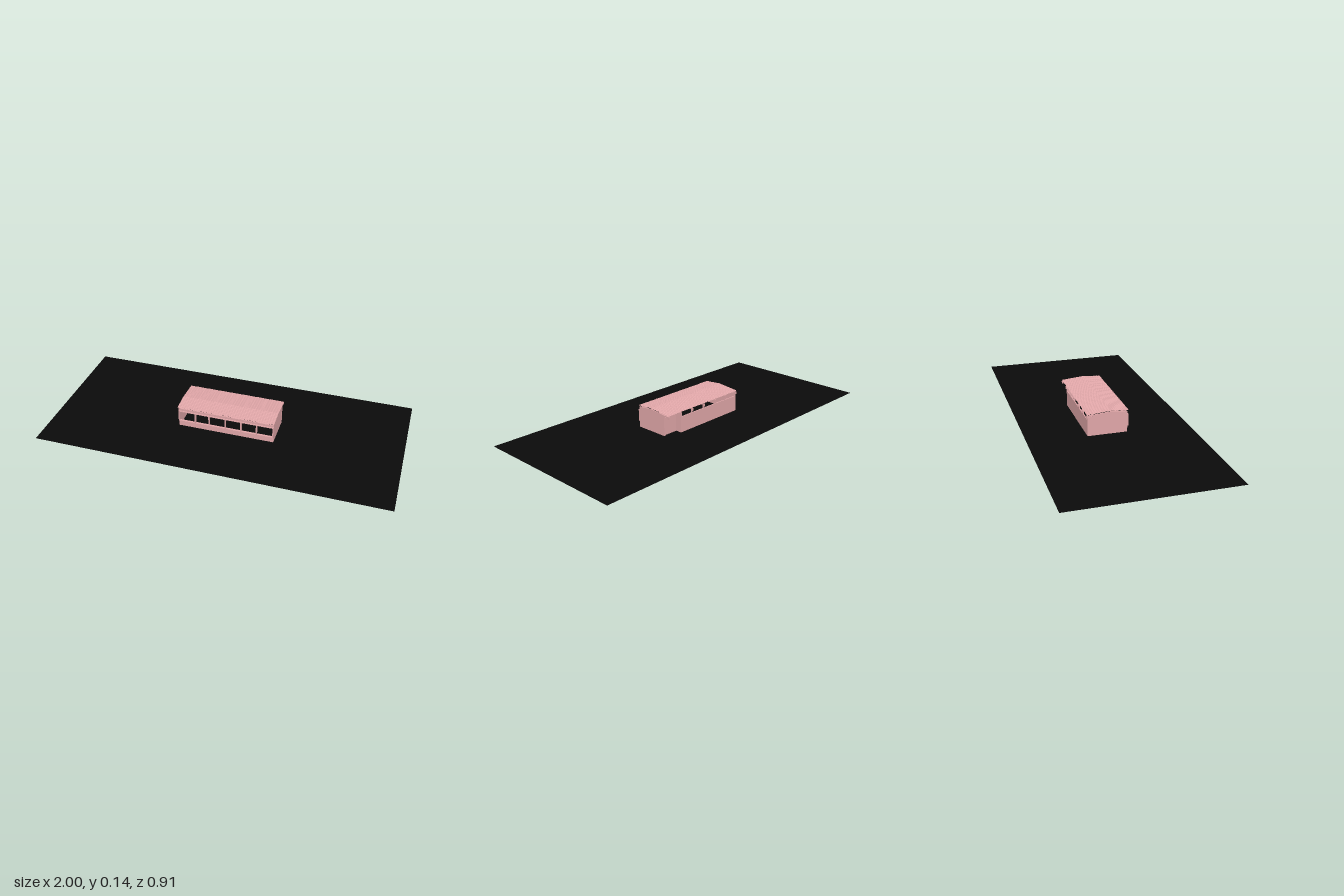
import * as THREE from 'three';

export function createModel() {
  const model = new THREE.Group();
  const pink = new THREE.MeshStandardMaterial({ color: 0xe0a6a8 });
  const roofMat = new THREE.MeshStandardMaterial({ color: 0xe0a6a8, flatShading: true, side: THREE.DoubleSide });
  const black = new THREE.MeshStandardMaterial({ color: 0x0a0a0a, side: THREE.DoubleSide });

  const add = (name, geometry, material = pink) => {
    const mesh = new THREE.Mesh(geometry, material);
    mesh.name = name;
    model.add(mesh);
    return mesh;
  };
  // Box given by its lower and upper limits on each axis
  const box = (name, x0, x1, y0, y1, z0, z1) =>
    add(name, new THREE.BoxGeometry(x1 - x0, y1 - y0, z1 - z0)
      .translate((x0 + x1) / 2, (y0 + y1) / 2, (z0 + z1) / 2));
  // Outline in (z, y), extruded from x0 to x1
  const profile = (name, x0, x1, points) => {
    const shape = new THREE.Shape(points.map(([z, y]) => new THREE.Vector2(-z, y)));
    return add(name, new THREE.ExtrudeGeometry(shape, { depth: x1 - x0, bevelEnabled: false })
      .rotateY(Math.PI / 2).translate(x0, 0, 0));
  };

  const L = -0.27, R = 0.288, step = 0.19, front = 0.1, back = -0.125, inner = -0.088, t = 0.006;
  const posts = [-0.267, -0.17, -0.088, 0.008, 0.1, 0.19, 0.285];

  // Flat ground
  add('ground', new THREE.PlaneGeometry(2, 0.914).rotateX(-Math.PI / 2), black);

  // Walls: low at the front, recessed at one end of the back
  box('frontLowWall', L, R, 0, 0.035, front - t, front);
  box('rightEndWall', R - t, R, 0, 0.11, inner, front);
  box('leftEndWall', L, L + t, 0, 0.11, back, front);
  box('backWall', L, step, 0, 0.092, back, back + t);
  box('recessedBackWall', step, R, 0, 0.1, inner, inner + t);
  box('recessReturnWall', step - t, step, 0, 0.11, back, inner + t);
  box('rightCornerPost', R - 0.007, R + 0.001, 0, 0.12, -0.095, inner);
  box('leftCornerPost', L - 0.001, L + 0.007, 0, 0.12, -0.095, inner);

  // Gable infills above the end walls
  for (const x of [L, R - t]) {
    profile('gable', x, x + t, [[front, 0.11], [front, 0.119], [0.005, 0.128], [-0.095, 0.119], [-0.095, 0.11]]);
  }

  // Front frame with projecting mullions, sill and head
  box('frontSill', L, R, 0.034, 0.038, front - t, front + 0.007);
  box('frontHead', L, R, 0.099, 0.103, front - t, front + 0.007);
  box('frontBeam', L, R, 0.103, 0.116, front - t, front);
  box('backBeam', L, R, 0.11, 0.117, -0.098, -0.09);
  for (const x of posts) {
    box('frontPost', x - 0.003, x + 0.003, 0.035, 0.12, front - t, front);
    box('frontMullion', x - 0.003, x + 0.003, 0.035, 0.1, front, front + 0.007);
  }

  // Rafters with tails beyond the back wall, and short posts under them
  for (const x of posts) {
    profile('rafter', x - 0.003, x + 0.003, [
      [front, 0.112], [front, 0.12], [0.005, 0.129], [-0.095, 0.12], [-0.131, 0.119],
      [-0.131, 0.104], [-0.122, 0.104], [-0.118, 0.112], [-0.095, 0.112], [0.005, 0.121],
    ]);
    if (x < 0.2) box('backStubPost', x - 0.003, x + 0.003, 0.092, 0.113, back, back + t);
  }

  // Thin tiled roof: waves along its length, small steps down each slope
  const roof = new THREE.PlaneGeometry(0.564, 0.236, 160, 40).rotateX(-Math.PI / 2).translate(0.008, 0, -0.011);
  const p = roof.attributes.position;
  for (let i = 0; i < p.count; i++) {
    const z = p.getZ(i), d = Math.abs(z - 0.005);
    const row = Math.floor(i / 161) % 2;
    const wave = 0.0008 * Math.sin((i % 161) * Math.PI / 2);
    p.setY(i, 0.1355 - d * 0.088 + wave + row * 0.0008);
  }
  roof.computeVertexNormals();
  add('tiledRoof', roof, roofMat);

  return model;
}
